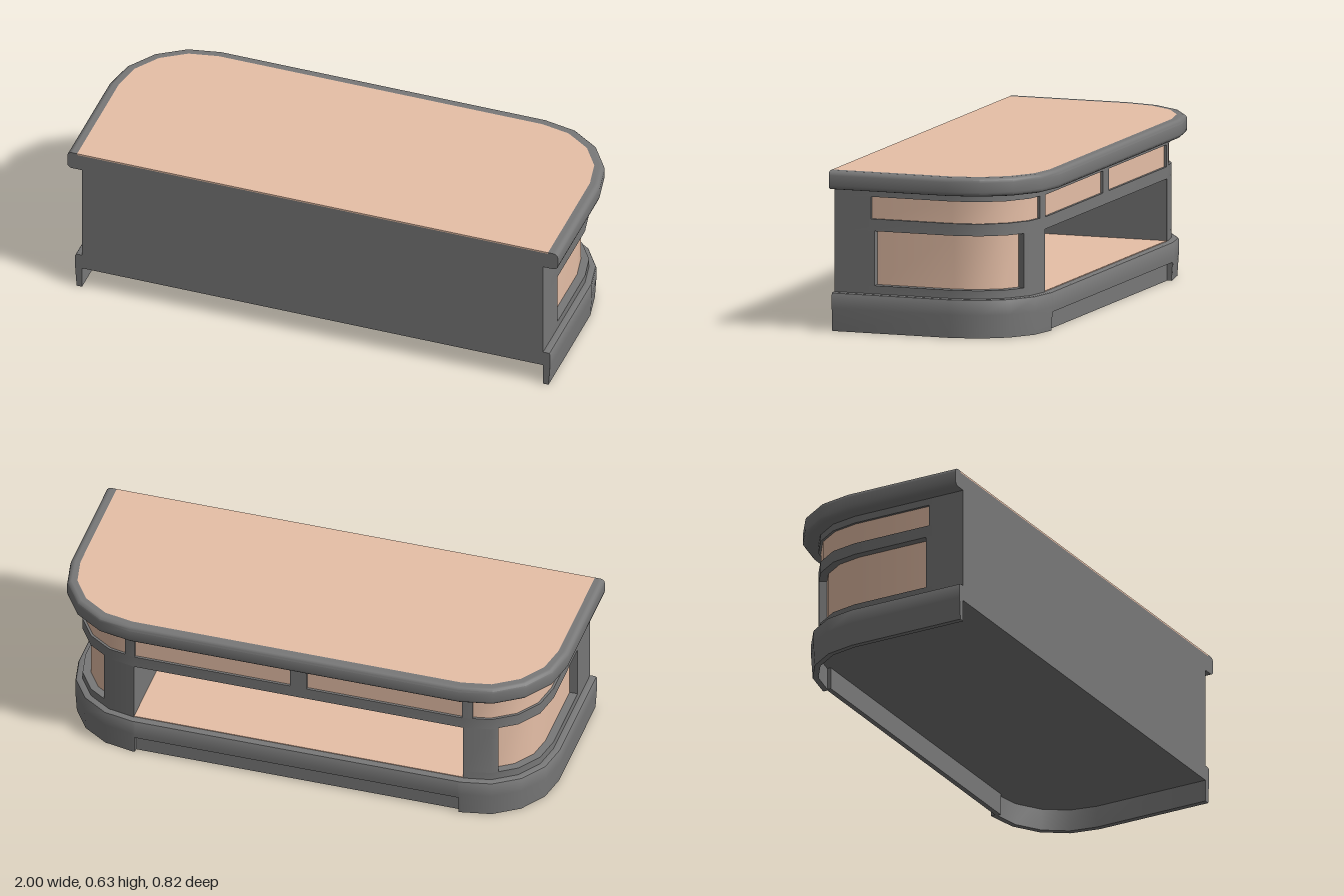
import * as THREE from 'three';
import { toCreasedNormals } from 'three/addons/utils/BufferGeometryUtils.js';

const grey = new THREE.MeshStandardMaterial({ color: 0x787878 });
const tan = new THREE.MeshStandardMaterial({ color: 0xe6bfa7 });
const FRONT = 0.41, CX = 0.66, CZ = -0.07, R = 0.34;

// Point on the plan outline, inset by off. u: -1..0 side, 0..4 corner,
// 4..6 back, 6..10 other corner, 10..11 other side.
function outline(u, off) {
  if (u > 5) {
    const [x, z] = outline(10 - u, off);
    return [-x, z];
  }
  const r = R - off;
  if (u <= 0) return [CX + r, CZ - u * (FRONT - CZ)];
  if (u >= 4) return [CX * (5 - u), CZ - r];
  const k = Math.min(3, Math.floor(u)), t = u - k;
  const at = i => [CX + r * Math.cos(i * Math.PI / 8), CZ - r * Math.sin(i * Math.PI / 8)];
  const a = at(k), b = at(k + 1);
  return [a[0] + (b[0] - a[0]) * t, a[1] + (b[1] - a[1]) * t];
}

function stations(u0, u1) {
  const us = [u0];
  for (let i = Math.floor(u0) + 1; i < u1; i++) us.push(i);
  us.push(u1);
  return us;
}

// Sweep a convex closed profile of [inset, y] points along the outline
function sweep(profile, u0, u1) {
  const us = stations(u0, u1), n = profile.length, pos = [], idx = [];
  us.forEach(u => profile.forEach(([off, y]) => {
    const [x, z] = outline(u, off);
    pos.push(x, y, z);
  }));
  for (let j = 0; j < us.length - 1; j++) {
    for (let i = 0; i < n; i++) {
      const a = j * n + i, b = j * n + (i + 1) % n;
      idx.push(a, a + n, b + n, a, b + n, b);
    }
  }
  const last = (us.length - 1) * n;
  for (let i = 1; i < n - 1; i++) {
    idx.push(0, i, i + 1, last, last + i + 1, last + i);
  }
  const g = new THREE.BufferGeometry();
  g.setAttribute('position', new THREE.Float32BufferAttribute(pos, 3));
  g.setIndex(idx);
  return toCreasedNormals(g, 0.6);
}

const rect = (o0, o1, y0, y1) => [[o0, y0], [o0, y1], [o1, y1], [o1, y0]];

// Solid slab filling the outline
function plate(off, y0, y1) {
  const shape = new THREE.Shape(stations(-1, 11).map(u => {
    const [x, z] = outline(u, off);
    return new THREE.Vector2(x, -z);
  }));
  const g = new THREE.ExtrudeGeometry(shape, { depth: y1 - y0, bevelEnabled: false });
  g.rotateX(-Math.PI / 2).translate(0, y0, 0);
  return toCreasedNormals(g, 0.6);
}

function box(x0, x1, y0, y1, z0, z1) {
  return new THREE.BoxGeometry(x1 - x0, y1 - y0, z1 - z0)
    .translate((x0 + x1) / 2, (y0 + y1) / 2, (z0 + z1) / 2);
}

export function createModel() {
  const group = new THREE.Group();
  const add = (name, geometry, material = grey) => {
    const mesh = new THREE.Mesh(geometry, material);
    mesh.name = name;
    group.add(mesh);
  };
  // The same sweep on both halves
  const pair = (name, profile, u0, u1, material) => {
    add(name + 'Left', sweep(profile, u0, u1), material);
    add(name + 'Right', sweep(profile, 10 - u1, 10 - u0), material);
  };

  // Counter top with a rounded rim; extra points keep its flats flat
  const BOTTOM = 0.555, TOP = 0.628, r = 0.018, rim = [[0.04, BOTTOM], [r + 0.003, BOTTOM]];
  for (let i = 0; i <= 3; i++) {
    const a = i * Math.PI / 6;
    rim.push([r - r * Math.sin(a), BOTTOM + r - r * Math.cos(a)]);
  }
  for (let i = 0; i <= 3; i++) {
    const a = i * Math.PI / 6;
    rim.push([r - r * Math.cos(a), TOP - r + r * Math.sin(a)]);
  }
  rim.push([r + 0.003, TOP], [0.04, TOP]);
  add('topRim', sweep(rim, -1, 11));
  add('topCore', plate(0.04, BOTTOM, 0.622));
  add('topSurface', plate(0.04, 0.622, TOP), tan);

  // Horizontal rails of the body
  const OUT = 0.06, IN = 0.1;
  add('upperRail', sweep(rect(OUT, IN, 0.527, BOTTOM), -1, 11));
  add('middleRail', sweep(rect(OUT, IN, 0.394, 0.441), -1, 11));

  // Lower row: framed corner recess, then a post beside the open shelf
  const low0 = -0.656, low1 = 2.73, shelf = 4;
  pair('lowerSill', rect(OUT, IN, 0.15, 0.182), -1, shelf);
  pair('lowerFrontPost', rect(OUT, IN, 0.182, 0.394), -1, low0);
  pair('lowerBackPost', rect(OUT, IN, 0.182, 0.394), low1, shelf);
  pair('lowerCornerPanel', rect(0.092, IN, 0.182, 0.394), low0, low1, tan);

  // Upper row: curved corner drawer and two flat back drawers
  const up0 = -0.686, up1 = 3.65, mid0 = 4.005, mid1 = 4.95;
  pair('upperFrontPost', rect(OUT, IN, 0.441, 0.527), -1, up0);
  pair('upperBackPost', rect(OUT, IN, 0.441, 0.527), up1, mid0);
  add('centrePost', sweep(rect(OUT, IN, 0.441, 0.527), mid1, 10 - mid1));
  pair('cornerDrawer', rect(0.07, IN, 0.441, 0.527), up0, up1, tan);
  pair('backDrawer', rect(0.07, IN, 0.441, 0.527), mid0, mid1, tan);

  // Front sheet and the inside of the open shelf
  add('frontPanel', box(-0.94, 0.94, 0.088, BOTTOM, 0.395, FRONT));
  add('shelfFloor', box(-0.66, 0.66, 0.14, 0.153, -0.348, 0.395), tan);
  add('shelfCeiling', box(-0.67, 0.67, 0.394, 0.41, -0.32, 0.395));
  for (const s of [-1, 1]) {
    const x = s * 0.67;
    add(s > 0 ? 'shelfWallLeft' : 'shelfWallRight',
      box(x - 0.01, x + 0.01, 0.15, 0.4, -0.32, 0.395));
  }

  // Base plate with the skirt, cut short along the back over a set-in board
  const notch = 4.015;
  const lip = [[0.032, 0.09], [0.032, 0.142], [0.035, 0.148], [0.04, 0.15], [0.06, 0.15]];
  add('basePlate', plate(0.06, 0.088, 0.15));
  pair('cornerSkirt', [[0.038, 0], ...lip, [0.06, 0]], -1, notch);
  add('backSkirt', sweep([[0.0332, 0.072], ...lip, [0.06, 0.072]], notch, 10 - notch));
  add('kickBoard', sweep(rect(0.055, 0.075, 0, 0.09), 4, 6));
  return group;
}
